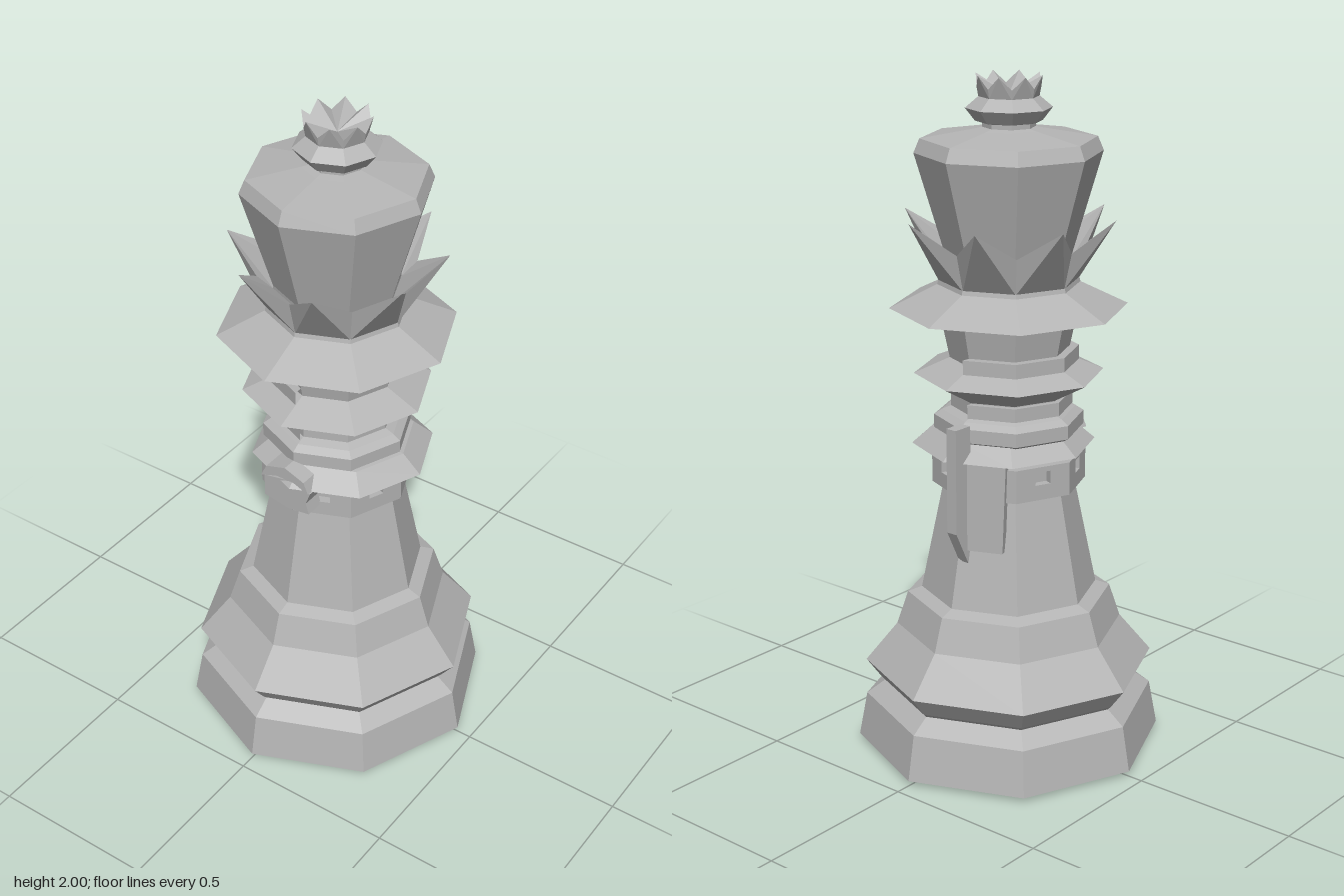
import * as THREE from 'three';

const SIDES = 8;
const STEP = (Math.PI * 2) / SIDES;

export function createModel() {
  const model = new THREE.Group();
  model.name = 'chessPiece';
  const stone = new THREE.MeshStandardMaterial({ color: 0xb4b4b4, flatShading: true, side: THREE.DoubleSide });
  stone.name = 'grey stone';

  const add = (name, geometry, parent = model) => {
    const mesh = new THREE.Mesh(geometry, stone);
    mesh.name = name;
    parent.add(mesh);
    return mesh;
  };
  const turned = (name, points) =>
    add(name, new THREE.LatheGeometry(points.map(([r, y]) => new THREE.Vector2(r, y)), SIDES));
  const outline = (points) => new THREE.Shape(points.map(([x, y]) => new THREE.Vector2(x, y)));
  const plate = (points, depth) =>
    new THREE.ExtrudeGeometry(outline(points), { depth, bevelEnabled: false });

  // Ring of eight pointed leaves; each argument is [radius, height]
  const leafCrown = (name, base, valley, tip, inner) => {
    const at = ([r, y], a) => [r * Math.sin(a), y, r * Math.cos(a)];
    const pos = [];
    for (let k = 0; k < SIDES; k++) {
      const a = k * STEP, b = a + STEP;
      const A = at(base, a), B = at(base, b), T = at(tip, a + STEP / 2);
      const V = at(valley, a), W = at(valley, b), C = at(inner, a), D = at(inner, b);
      const tris = [[A, B, T], [A, T, V], [B, W, T], [V, T, C], [T, W, D]];
      if (inner[0] > 0) tris.push([C, T, D]);
      for (const t of tris) pos.push(...t.flat());
    }
    const g = new THREE.BufferGeometry();
    g.setAttribute('position', new THREE.Float32BufferAttribute(pos, 3));
    g.computeVertexNormals();
    add(name, g);
  };

  // Foot, flared skirt and tapering trunk
  turned('base', [[0, 0], [0.32, 0], [0.325, 0.008], [0.435, 0.008], [0.455, 0.015], [0.43, 0.15],
    [0.375, 0.19], [0.385, 0.2], [0.43, 0.26], [0.335, 0.375], [0.302, 0.475], [0.26, 0.49]]);
  turned('trunk', [[0.26, 0.49], [0.192, 0.82], [0.192, 0.92]]);

  // Belt of eight panels, each with a square window
  const belt = new THREE.Group();
  belt.name = 'belt';
  model.add(belt);
  const half = 0.225 * Math.sin(STEP / 2), apothem = 0.225 * Math.cos(STEP / 2);
  for (let k = 0; k < SIDES; k++) {
    const s = outline([[-half, 0.82], [half, 0.82], [half, 0.918], [-half, 0.918]]);
    s.holes.push(new THREE.Path([[-0.024, 0.865], [-0.024, 0.903], [0.024, 0.903], [0.024, 0.865]]
      .map(([x, y]) => new THREE.Vector2(x, y))));
    const g = new THREE.ExtrudeGeometry(s, { depth: 0.025, bevelEnabled: false });
    g.translate(0, 0, apothem - 0.025);
    g.rotateY((k + 0.5) * STEP);
    add('beltPanel', g, belt);
  }

  // Collar above the belt, set slightly to one side
  turned('collar', [[0.19, 0.91], [0.268, 0.935], [0.21, 0.985], [0.18, 0.99]]).position.x = 0.02;

  // Waist, ruff and neck
  turned('waist', [[0.19, 0.97], [0.218, 0.985], [0.218, 1.025], [0.195, 1.04], [0.168, 1.05],
    [0.168, 1.09], [0.275, 1.15], [0.17, 1.195]]);
  turned('neck', [[0.168, 1.18], [0.195, 1.31]]);
  turned('brim', [[0.19, 1.31], [0.343, 1.343], [0.205, 1.41], [0.2, 1.43], [0.18, 1.45]]);

  // Bands around one side only
  const sideBand = (name, r, y, h) => {
    const g = new THREE.CylinderGeometry(r, r, h, 4, 1, false, Math.PI, Math.PI);
    g.translate(0, y, 0);
    add(name, g);
  };
  sideBand('neckBand', 0.203, 1.2, 0.045);
  sideBand('waistBand', 0.185, 1.068, 0.04);

  // Small wedge on the front of the neck
  const wedge = plate([[-0.045, 1.31], [-0.025, 1.26], [0, 1.26], [0.02, 1.31]], 0.03);
  wedge.translate(-0.02, 0, 0.175);
  add('neckWedge', wedge);

  // Front buckle with a hooked crest
  const buckle = plate([[-0.08, 0.86], [0, 0.845], [0.075, 0.855], [0.065, 0.89], [0.08, 0.93],
    [0.02, 0.95], [-0.08, 0.93]], 0.06);
  buckle.translate(0, 0, 0.19);
  add('buckle', buckle);
  const crest = plate([[-0.085, 0.935], [-0.065, 0.975], [0, 0.995], [0.065, 0.97], [0.08, 0.935],
    [0.03, 0.955], [-0.03, 0.955]], 0.08);
  crest.translate(0, 0, 0.18);
  add('buckleCrest', crest);

  // Scabbard and flat pouch hanging at the back
  const scabbard = plate([[0.215, 1.04], [0.275, 1.04], [0.275, 0.73], [0.225, 0.63], [0.2, 0.75],
    [0.21, 0.9]], 0.035);
  scabbard.rotateY(Math.PI / 2);
  scabbard.translate(-0.035, 0, 0);
  add('scabbard', scabbard);
  const pouch = plate([[-0.07, 0.67], [0.05, 0.67], [0.06, 0.94], [-0.07, 0.94]], 0.03);
  pouch.translate(0, 0, 0.195);
  pouch.rotateY(Math.PI + STEP / 2);
  add('pouch', pouch);

  // Leafy crown around the foot of the head
  leafCrown('leafCrown', [0.2, 1.42], [0.225, 1.525], [0.312, 1.608], [0.18, 1.48]);

  // Flared head, domed lid and button
  turned('head', [[0.18, 1.42], [0.18, 1.49], [0.267, 1.785], [0.25, 1.825], [0.1, 1.85], [0.075, 1.855],
    [0.075, 1.868], [0.095, 1.872], [0.123, 1.908], [0.085, 1.94]]);
  leafCrown('topCrown', [0.085, 1.938], [0.09, 1.965], [0.097, 2], [0, 1.945]);

  return model;
}
